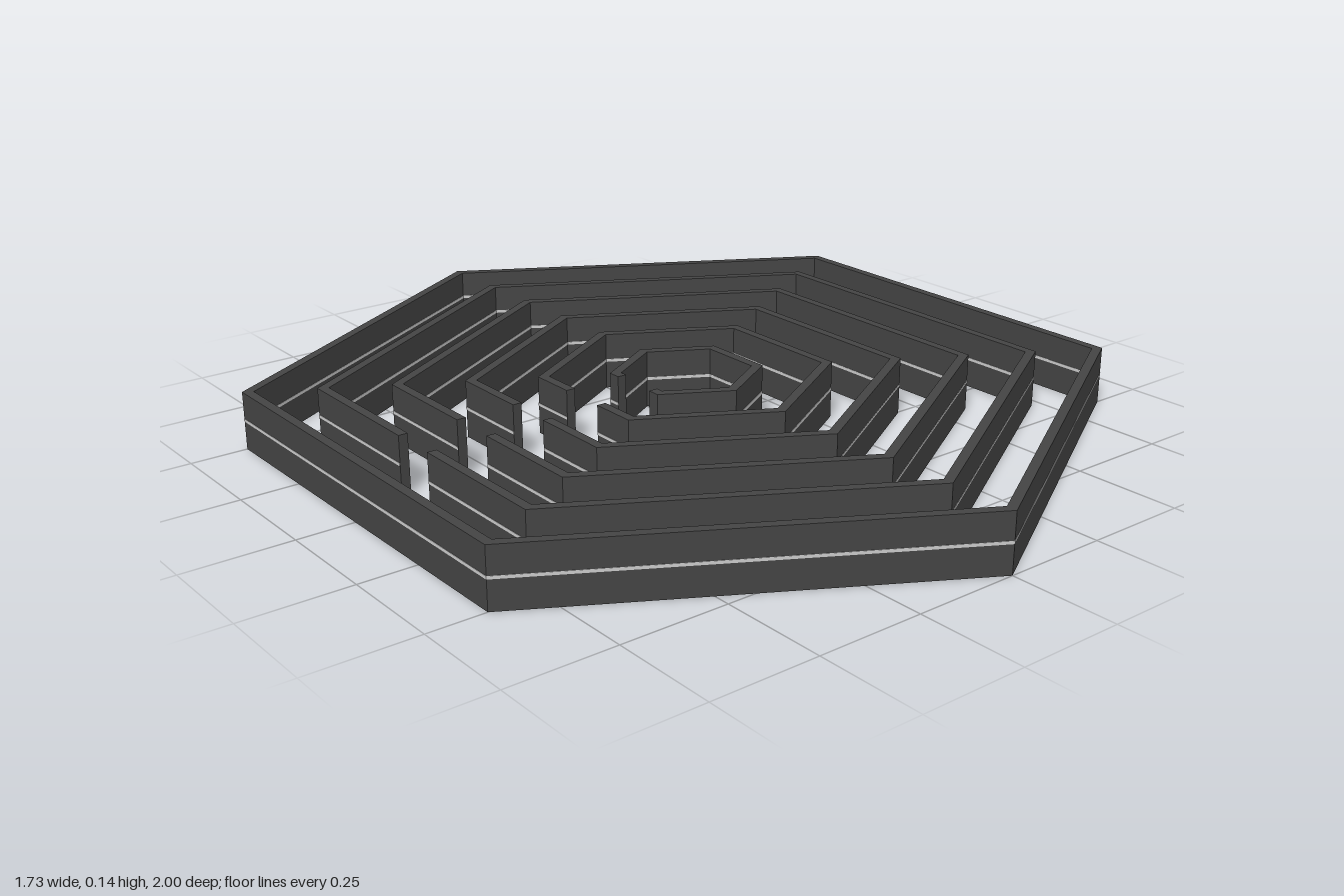
import * as THREE from 'three';

const dark = new THREE.MeshStandardMaterial({ color: 0x444444, side: THREE.DoubleSide });
const light = new THREE.MeshStandardMaterial({ color: 0xcccccc, side: THREE.DoubleSide });

const HEIGHT = 0.137, SPACING = 0.1645, HALF_WALL = 0.0128, HALF_GAP = 0.058;

// six corners of a hexagon with points towards +z and -z, starting beside the -x side
const hexagon = (r) => [150, 90, 30, -30, -90, -150].map((deg) => {
  const a = THREE.MathUtils.degToRad(deg);
  return new THREE.Vector2(r * Math.cos(a), r * Math.sin(a));
});

// hexagonal band, either closed or with an opening in its -x side
function bandShape(r, halfWidth, halfGap) {
  const outer = hexagon(r + halfWidth), inner = hexagon(r - halfWidth);
  if (!halfGap) {
    const shape = new THREE.Shape(outer);
    shape.holes.push(new THREE.Path(inner));
    return shape;
  }
  const xo = outer[0].x, xi = inner[0].x;
  return new THREE.Shape([
    new THREE.Vector2(xo, halfGap), ...outer, new THREE.Vector2(xo, -halfGap),
    new THREE.Vector2(xi, -halfGap), ...inner.reverse(), new THREE.Vector2(xi, halfGap),
  ]);
}

function band(name, shape, y, height, material) {
  const geometry = new THREE.ExtrudeGeometry(shape, { depth: height, bevelEnabled: false });
  geometry.rotateX(-Math.PI / 2).translate(0, y, 0);
  const mesh = new THREE.Mesh(geometry, material);
  mesh.name = name;
  return mesh;
}

export function createModel() {
  const model = new THREE.Group();
  model.name = 'hexagonalMaze';

  // concentric walls with a thin light stripe at mid height; only the outermost is closed
  for (let i = 1; i <= 6; i++) {
    const r = i * SPACING, gap = i < 6 ? HALF_GAP : 0;
    const ring = new THREE.Group();
    ring.name = 'ring' + i;
    ring.add(band('wall', bandShape(r, HALF_WALL, gap), 0, HEIGHT, dark));
    ring.add(band('stripe', bandShape(r, HALF_WALL + 0.001, gap && gap + 0.001), 0.067, 0.007, light));
    model.add(ring);
  }

  // small ribbed dome on the ground at the centre
  const R = 0.046;
  const dome = new THREE.Group();
  dome.name = 'centreDome';
  const shell = new THREE.Mesh(new THREE.SphereGeometry(R, 20, 8, 0, Math.PI * 2, 0, Math.PI / 2), light);
  shell.name = 'domeShell';
  dome.add(shell);
  const ribGeometry = new THREE.TorusGeometry(R, 0.0015, 4, 12, Math.PI / 2);
  for (let i = 0; i < 20; i++) {
    const rib = new THREE.Mesh(ribGeometry, dark);
    rib.name = 'domeRib';
    rib.rotation.y = (i / 20) * Math.PI * 2;
    dome.add(rib);
  }
  for (const deg of [2, 22, 45, 67]) {
    const a = THREE.MathUtils.degToRad(deg);
    const hoop = new THREE.Mesh(new THREE.TorusGeometry(R * Math.cos(a), 0.0015, 4, 20), dark);
    hoop.name = 'domeHoop';
    hoop.rotation.x = Math.PI / 2;
    hoop.position.y = R * Math.sin(a);
    dome.add(hoop);
  }
  model.add(dome);
  return model;
}
